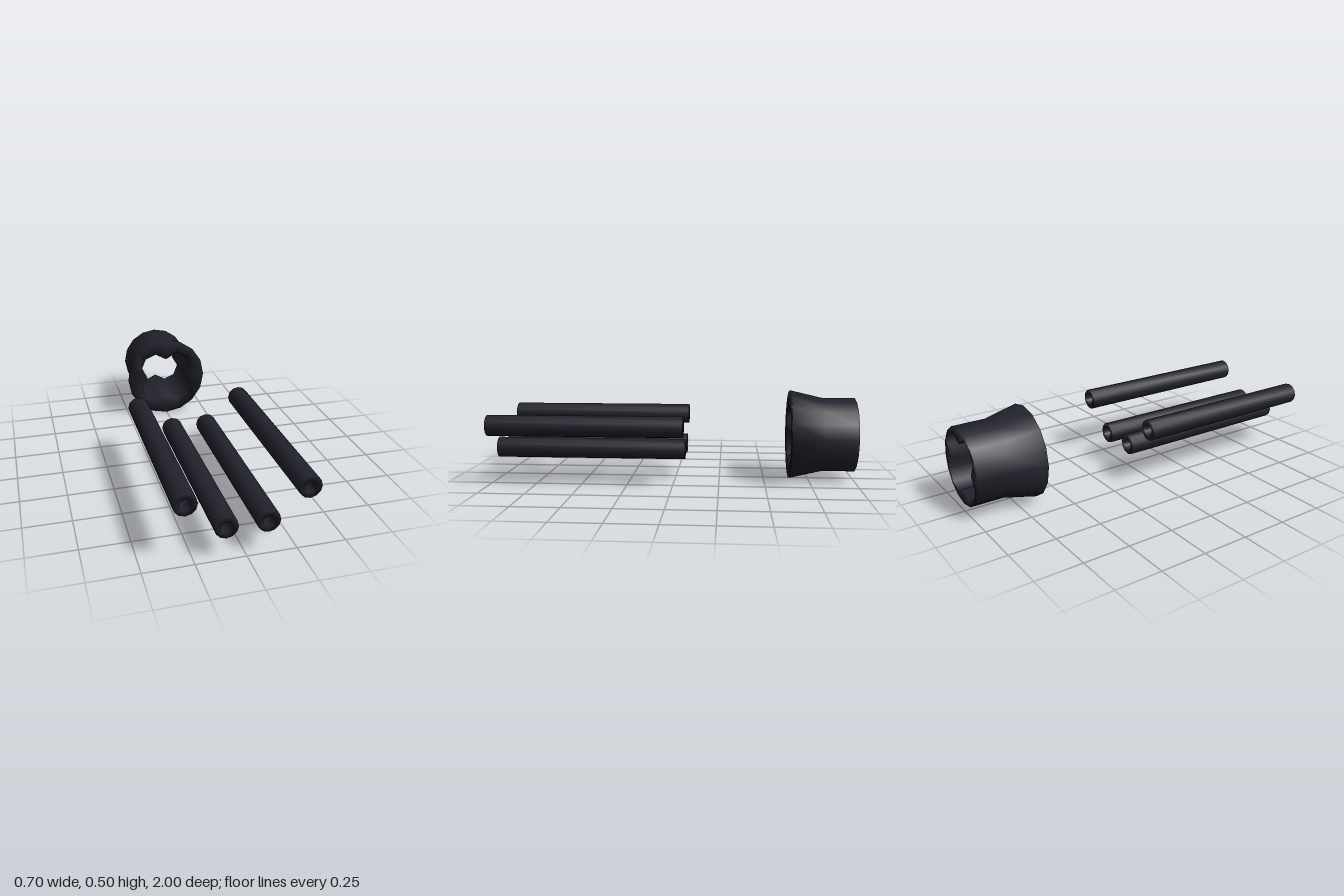
import * as THREE from 'three';

const darkMetal = new THREE.MeshStandardMaterial({ color: 0x22222d });
darkMetal.name = 'darkMetal';

// Closed hollow body: rings of [z, radius(k)] run down the outside and back up
// the inside; shared vertices give smooth normals over the rims.
function hollowBody(rings, sides) {
  const pos = [], index = [];
  for (const [z, radius] of rings) {
    for (let k = 0; k < sides; k++) {
      const a = (k / sides) * Math.PI * 2;
      pos.push(Math.cos(a) * radius(k), Math.sin(a) * radius(k), z);
    }
  }
  for (let i = 0; i < rings.length; i++) {
    const n = (i + 1) % rings.length;
    for (let k = 0; k < sides; k++) {
      const l = (k + 1) % sides;
      const a = i * sides + k, b = n * sides + k, c = i * sides + l, d = n * sides + l;
      index.push(a, b, c, b, d, c);
    }
  }
  const g = new THREE.BufferGeometry();
  g.setAttribute('position', new THREE.Float32BufferAttribute(pos, 3));
  g.setIndex(index);
  g.computeVertexNormals();
  return g;
}

const round = (r) => () => r;

export function createModel() {
  const model = new THREE.Group();
  model.name = 'barrelsAndNozzle';

  const add = (name, geometry, x, y) => {
    const mesh = new THREE.Mesh(geometry, darkMetal);
    mesh.name = name;
    mesh.position.set(x, y, 0);
    model.add(mesh);
  };

  // Four open tubes, an upper outer pair and a lower inner pair
  const tube = hollowBody(
    [[1, round(0.0575)], [-0.06, round(0.0575)], [-0.06, round(0.03)], [1, round(0.03)]], 12);
  for (const [side, s] of [['left', 1], ['right', -1]]) {
    add(side + 'OuterBarrel', tube, s * 0.295, 0.326);
    add(side + 'InnerBarrel', tube, s * 0.102, 0.175);
  }

  // Flared nozzle with a four-lobed bore
  const lobe = [0.123, 0.174, 0.188, 0.174];
  const bore = (k) => lobe[k % 4];
  add('nozzle', hollowBody(
    [[-0.64, round(0.25)], [-0.82, round(0.208)], [-1, round(0.208)], [-1, bore], [-0.64, bore]], 16),
    0, 0.25);

  return model;
}
